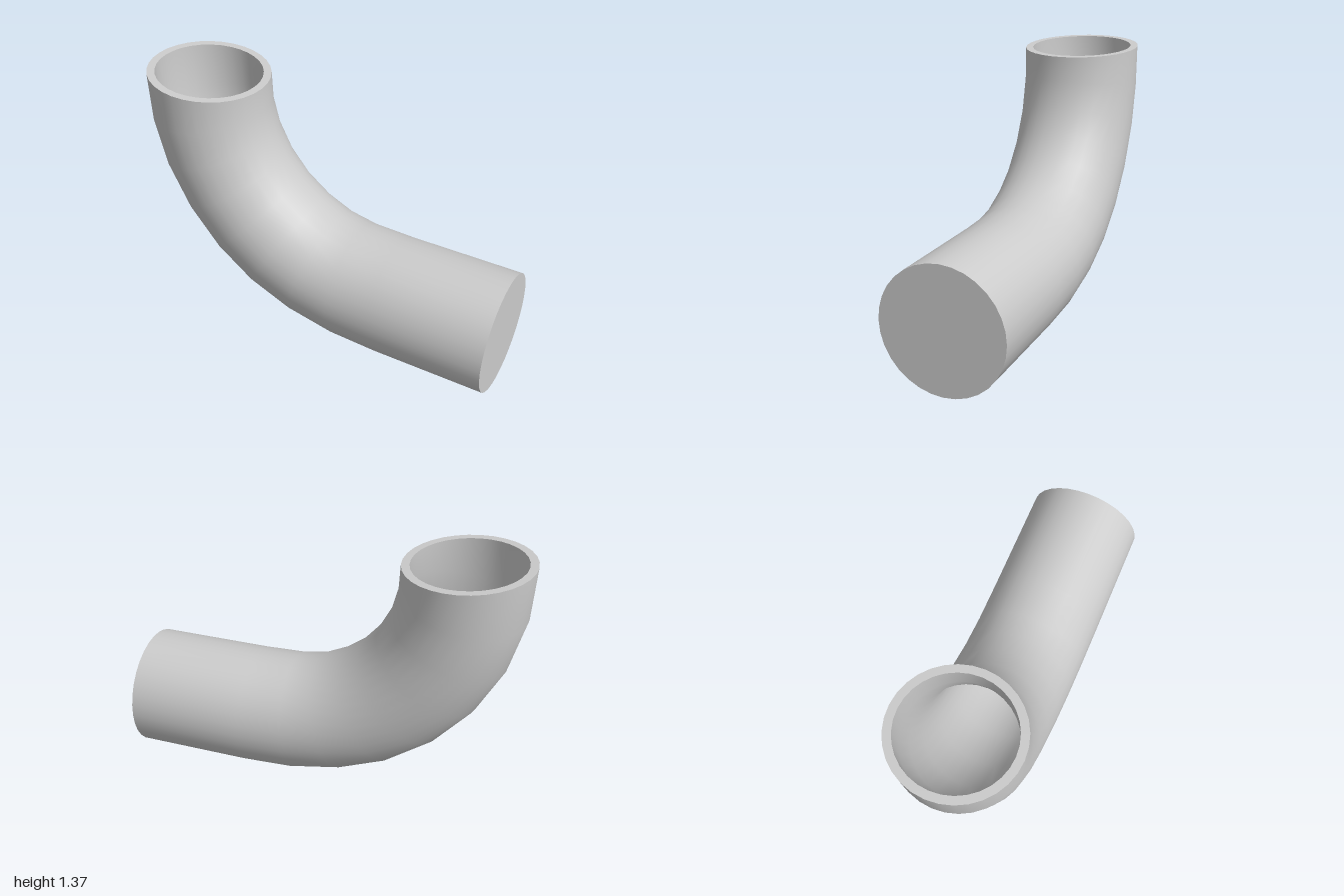
import * as THREE from 'three';

const SIDES = 32;
const RADIUS = 0.315;
const BORE = 0.275 / RADIUS; // bore size relative to the outside

// Cross-sections from the upper end to the level end:
// outer-bend point (x, y), inner-bend point (x, y)
const SECTIONS = [
  [-1.0, 1.37, -0.375, 1.32],
  [-0.99, 1.095, -0.37, 1.19],
  [-0.925, 0.83, -0.335, 1.05],
  [-0.8, 0.58, -0.27, 0.92],
  [-0.62, 0.36, -0.18, 0.81],
  [-0.4, 0.19, -0.07, 0.725],
  [-0.14, 0.075, 0.05, 0.665],
  [0.13, 0.015, 0.18, 0.638],
  [0.4, 0, 0.4, 0.63],
  [1, 0, 1, 0.63],
];

// Circle of points spanning one cross-section
function ring([ox, oy, ix, iy], scale) {
  const points = [];
  for (let j = 0; j < SIDES; j++) {
    const a = (j / SIDES) * Math.PI * 2;
    const c = (Math.cos(a) * scale) / 2;
    points.push(
      (ox + ix) / 2 + (ox - ix) * c,
      (oy + iy) / 2 + (oy - iy) * c,
      Math.sin(a) * RADIUS * scale,
    );
  }
  return points;
}

// Closed skin over successive rings
function loft(rings, inward = false) {
  const index = [];
  for (let i = 0; i < rings.length - 1; i++) {
    for (let j = 0; j < SIDES; j++) {
      const a = i * SIDES + j;
      const b = i * SIDES + ((j + 1) % SIDES);
      const c = a + SIDES;
      const d = b + SIDES;
      if (inward) index.push(a, b, c, b, d, c);
      else index.push(a, c, b, b, c, d);
    }
  }
  const geometry = new THREE.BufferGeometry();
  geometry.setAttribute('position', new THREE.Float32BufferAttribute(rings.flat(), 3));
  geometry.setIndex(index);
  geometry.computeVertexNormals();
  return geometry;
}

export function createModel() {
  const group = new THREE.Group();
  group.name = 'pipeElbow';
  const material = new THREE.MeshStandardMaterial({ color: 0xcccccc, side: THREE.DoubleSide });
  const add = (name, geometry) => {
    const mesh = new THREE.Mesh(geometry, material);
    mesh.name = name;
    group.add(mesh);
  };

  add('outerWall', loft(SECTIONS.map((s) => ring(s, 1))));
  add('innerWall', loft(SECTIONS.map((s) => ring(s, BORE)), true));

  // Flat lip around the open upper end
  add('rim', loft([ring(SECTIONS[0], BORE), ring(SECTIONS[0], 1)]));

  // Disc closing the level end
  const cap = new THREE.CircleGeometry(RADIUS, SIDES);
  cap.rotateY(Math.PI / 2).translate(1, RADIUS, 0);
  add('endCap', cap);

  return group;
}
